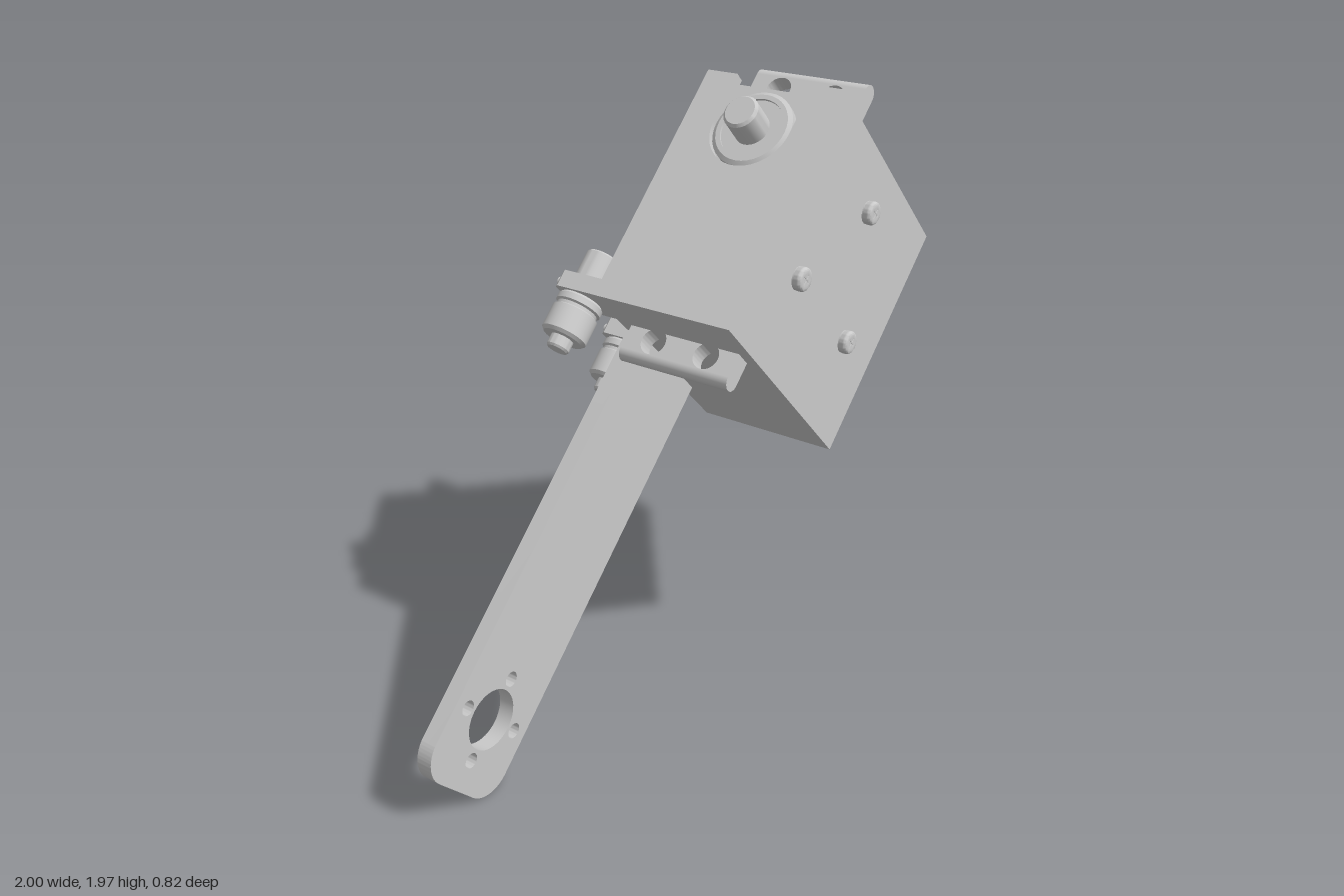
import * as THREE from 'three';
import { toCreasedNormals } from 'three/addons/utils/BufferGeometryUtils.js';

const greyMat = new THREE.MeshStandardMaterial({ color: 0xc9c9c9 });
greyMat.name = 'light grey';

const MID_Z = 0.14; // middle of the housing depth
const SHAFT_U = 0.23; // output axis along the arm direction

export function createModel() {
  const model = new THREE.Group();
  // Everything is built along the arm (x), then tilted by 45 degrees
  const tilted = new THREE.Group();
  tilted.name = 'jointAssembly';
  tilted.rotation.z = Math.PI / 4;
  tilted.position.set(0.393, 1.397, 0);
  model.add(tilted);

  const add = (name, geo) => {
    const m = new THREE.Mesh(geo, greyMat);
    m.name = name;
    tilted.add(m);
    return m;
  };
  const box = (name, x0, x1, y0, y1, z0, z1) =>
    add(name, new THREE.BoxGeometry(x1 - x0, y1 - y0, z1 - z0))
      .position.set((x0 + x1) / 2, (y0 + y1) / 2, (z0 + z1) / 2);
  const extrude = (shape, depth) => toCreasedNormals(
    new THREE.ExtrudeGeometry(shape, { depth, bevelEnabled: false, curveSegments: 24 }), 0.6);
  const lathe = (pts) => toCreasedNormals(
    new THREE.LatheGeometry(pts.map(([r, h]) => new THREE.Vector2(r, h)), 36), 0.5);
  const circle = (x, y, r) => new THREE.Path().absarc(x, y, r, 0, Math.PI * 2, true);
  const polygon = (pts) => new THREE.Shape(pts.map(([x, y]) => new THREE.Vector2(x, y)));

  // Arm with rounded end and hub holes
  const e = -1.84, w = 0.19, r = 0.1, hub = -1.615;
  const arm = new THREE.Shape();
  arm.moveTo(-0.38, -w);
  arm.lineTo(-0.38, w);
  arm.lineTo(e + r, w);
  arm.absarc(e + r, w - r, r, Math.PI / 2, Math.PI, false);
  arm.absarc(e + r, r - w, r, Math.PI, Math.PI * 1.5, false);
  arm.closePath();
  arm.holes.push(circle(hub, 0, 0.095));
  for (const [dx, dy] of [[0.13, 0], [-0.13, 0], [0, 0.13], [0, -0.13]])
    arm.holes.push(circle(hub + dx, dy, 0.024));
  add('arm', extrude(arm, 0.053)).position.z = -0.1;

  // Open housing
  box('housingFront', -0.4, 0.4, -0.415, 0.41, 0.345, 0.38);
  box('housingBack', -0.4, 0.4, -0.415, 0.41, -0.1, -0.06);
  box('housingFloor', -0.4, 0.4, -0.415, -0.355, -0.06, 0.345);
  box('housingEnd', -0.4, -0.375, -0.355, 0.375, -0.06, 0.345);

  // Shaft side wall with a U-shaped slot
  const s = 0.133;
  const wall = new THREE.Shape();
  wall.moveTo(0.4, MID_Z + s);
  wall.lineTo(0.4, 0.345);
  wall.lineTo(-0.4, 0.345);
  wall.lineTo(-0.4, -0.06);
  wall.lineTo(0.4, -0.06);
  wall.lineTo(0.4, MID_Z - s);
  wall.lineTo(SHAFT_U, MID_Z - s);
  wall.absarc(SHAFT_U, MID_Z, s, -Math.PI / 2, Math.PI / 2, true);
  wall.closePath();
  add('housingShaftWall', extrude(wall, 0.035).rotateX(Math.PI / 2)).position.y = 0.41;

  // Motor body and its mounting flange with rounded ends
  box('motorBody', -0.37, 0.388, -0.347, 0.37, -0.053, 0.338);
  const u0 = -0.475, u1 = 0.515, z0 = -0.055, z1 = 0.335;
  const flange = polygon([[u0, z0], [u1, z0], [u1, z1], [u0, z1]]);
  for (const u of [-0.432, 0.471])
    for (const dz of [-0.095, 0.095]) flange.holes.push(circle(u, MID_Z + dz, 0.042));
  add('motorFlange', extrude(flange, 0.06).rotateX(Math.PI / 2)).position.y = 0.24;
  for (const [u, start] of [[u0, Math.PI], [u1, 0]])
    add('flangeEnd', new THREE.CylinderGeometry(0.03, 0.03, z1 - z0, 16, 1, false, start, Math.PI)
      .rotateX(Math.PI / 2)).position.set(u, 0.21, MID_Z);

  // Output shaft and opposite stepped bearing
  add('outputShaft', lathe([[0, 0.36], [0.128, 0.36], [0.128, 0.4], [0.115, 0.408], [0.1, 0.408],
    [0.1, 0.4], [0.055, 0.4], [0.055, 0.487], [0.047, 0.495], [0, 0.495]]))
    .position.set(SHAFT_U, 0, MID_Z);
  add('bearing', lathe([[0, -0.567], [0.05, -0.567], [0.057, -0.56], [0.057, -0.515],
    [0.1, -0.515], [0.105, -0.508], [0.126, -0.508], [0.126, -0.488], [0.115, -0.483],
    [0.115, -0.432], [0.13, -0.43], [0.13, -0.405], [0, -0.405]]))
    .position.set(SHAFT_U, 0, MID_Z);

  // Cross-head screws on the front
  const k = 0.005, l = 0.019;
  for (const [u, v] of [[-0.113, 0.2], [0.237, 0], [-0.113, -0.202]]) {
    const head = new THREE.Shape().absarc(0, 0, 0.027, 0, Math.PI * 2, false);
    head.holes.push(new THREE.Path([[l, k], [k, k], [k, l], [-k, l], [-k, k], [-l, k], [-l, -k],
      [-k, -k], [-k, -l], [k, -l], [k, -k], [l, -k]].map(([x, y]) => new THREE.Vector2(x, y)).reverse()));
    const geo = new THREE.ExtrudeGeometry(head, {
      depth: 0.008, bevelThickness: 0.012, bevelSize: 0.01, bevelSegments: 4, curveSegments: 20 });
    add('screwHead', toCreasedNormals(geo, 0.6)).position.set(u, v, 0.389);
    add('screwBase', new THREE.CylinderGeometry(0.036, 0.036, 0.012, 24).rotateX(Math.PI / 2))
      .position.set(u, v, 0.386);
  }

  // Rear bracket posts with flared feet, gussets and roller pins
  const toAlongArm = new THREE.Matrix4().makeBasis(
    new THREE.Vector3(0, 1, 0), new THREE.Vector3(0, 0, 1), new THREE.Vector3(1, 0, 0));
  const h = 0.08, base = -0.098;
  for (const side of [-1, 1]) {
    const v = side * 0.16;
    const left = side < 0 ? 0.1 : 0.07, right = side < 0 ? 0.07 : 0.1;
    const post = new THREE.Shape();
    post.moveTo(-h - left, base);
    post.absarc(-h - left, base - left, left, Math.PI / 2, 0, true);
    post.lineTo(-h, -0.385);
    post.lineTo(-h + 0.015, -0.4);
    post.lineTo(h - 0.015, -0.4);
    post.lineTo(h, -0.385);
    post.lineTo(h, base - right);
    post.absarc(h + right, base - right, right, Math.PI, Math.PI / 2, true);
    post.closePath();
    add('bracketPost', extrude(post, 0.057).applyMatrix4(toAlongArm)).position.set(-0.337, v, 0);

    const gusset = polygon([[-0.285, base], [-0.285, -0.27], [-0.06, -0.1], [-0.06, base]]);
    add('bracketGusset', extrude(gusset, 0.05).rotateX(Math.PI / 2)).position.y = v + 0.025;

    add('rollerPin', lathe([[0, -0.515], [0.033, -0.515], [0.038, -0.508], [0.038, -0.475],
      [0.066, -0.475], [0.076, -0.465], [0.076, -0.385], [0.068, -0.38], [0.068, -0.37],
      [0.076, -0.365], [0.076, -0.345], [0.066, -0.335], [0.056, -0.33],
      [0.056, -0.183], [0.05, -0.177], [0, -0.177]]).rotateZ(-Math.PI / 2))
      .position.set(0, v, -0.333);

    // Small set screws on the post tip
    for (const d of [-0.045, 0.045])
      add('setScrew', new THREE.CylinderGeometry(0.014, 0.014, 0.02, 14).rotateX(Math.PI / 2))
        .position.set(-0.308, v + d, -0.402);
  }
  return model;
}
